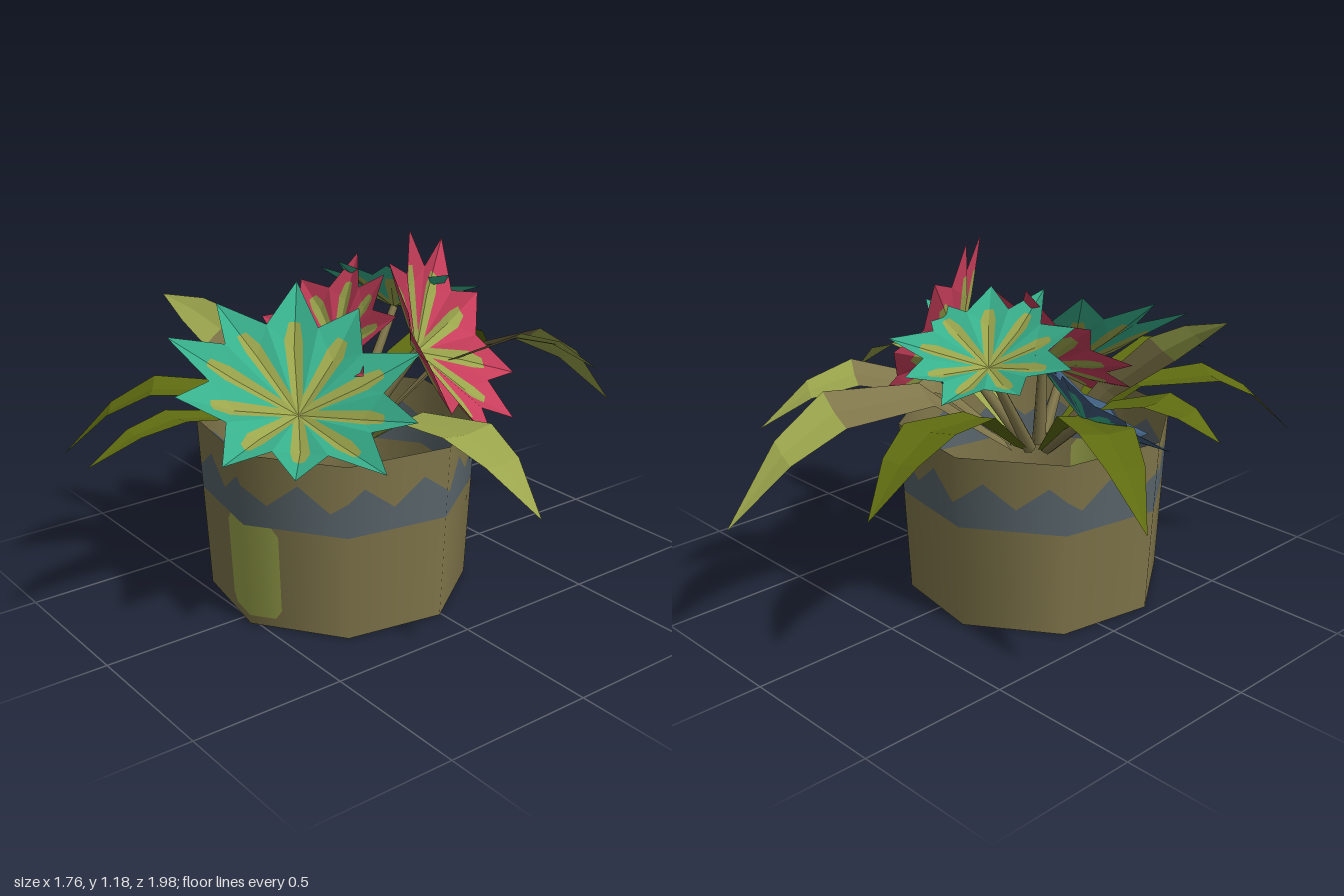
import * as THREE from 'three';

const colours = {
  clay: 0x7f754a, slate: 0x58646a, lightGreen: 0x9ba54c, olive: 0x5f6c10,
  teal: 0x38b08c, crimson: 0xc63d5a, blue: 0x3f5c7e,
};
const M = {};
for (const [name, hex] of Object.entries(colours)) {
  M[name] = new THREE.MeshStandardMaterial({ color: hex, side: THREE.DoubleSide });
  M[name].name = name;
}

// Mesh from a list of triangle corners; faceted unless normals are given
function facets(name, points, material, normals) {
  const g = new THREE.BufferGeometry().setFromPoints(points);
  if (normals) g.setAttribute('normal', new THREE.Float32BufferAttribute(normals.flatMap((n) => n.toArray()), 3));
  else g.computeVertexNormals();
  const mesh = new THREE.Mesh(g, material);
  mesh.name = name;
  return mesh;
}

// ---- Pot: open octagonal tube cut into coloured bands ----
const POT = { x: -0.045, z: 0.1, top: 0.457, bottom: 0.428, h: 0.588, corner: 12.5 };
const rad = THREE.MathUtils.degToRad;

function potPoint(az, y) {
  const fromMid = THREE.MathUtils.euclideanModulo(az - POT.corner, 45) - 22.5;
  const r = THREE.MathUtils.lerp(POT.bottom, POT.top, y / POT.h) * Math.cos(rad(22.5)) / Math.cos(rad(fromMid));
  return new THREE.Vector3(POT.x + r * Math.sin(rad(az)), y, POT.z + r * Math.cos(rad(az)));
}

function band(name, material, angles, low, high) {
  const p = [], n = [];
  for (let i = 0; i + 1 < angles.length; i++) {
    const [a, b] = [angles[i], angles[i + 1]];
    for (const [az, f] of [[a, low], [b, low], [b, high], [a, low], [b, high], [a, high]]) {
      p.push(potPoint(az, f(az)));
      n.push(new THREE.Vector3(Math.sin(rad(az)), -0.05, Math.cos(rad(az))).normalize());
    }
  }
  return facets(name, p, material, n);
}

function makePot() {
  const pot = new THREE.Group();
  pot.name = 'pot';
  const zigStart = -5, period = 360 / 13;
  const corners = Array.from({ length: 8 }, (_, i) => POT.corner + 45 * i);
  const teeth = Array.from({ length: 27 }, (_, i) => zigStart + (i * period) / 2);
  const ring = [...corners, ...teeth].sort((a, b) => a - b);
  const zig = (az) => {
    const t = THREE.MathUtils.euclideanModulo(az - zigStart, period) / period;
    return 0.425 + 0.08 * (1 - Math.abs(2 * t - 1));
  };
  const flat = (y) => () => y;
  // label with clipped corners
  const label = [-4, -1, POT.corner, 24, 27];
  const edge = (az) => (az <= -4 || az >= 27 ? 0.03 : 0);
  const labelLow = (az) => 0.03 + edge(az), labelHigh = (az) => 0.35 - edge(az);
  const rest = [27, ...corners.slice(1), 356];
  pot.add(
    band('potRim', M.clay, ring, zig, flat(POT.h)),
    band('zigzagBand', M.slate, ring, flat(0.35), zig),
    band('potWall', M.clay, rest, flat(0), flat(0.35)),
    band('wallBelowLabel', M.clay, label, flat(0), labelLow),
    band('label', M.lightGreen, label, labelLow, labelHigh),
    band('wallAboveLabel', M.clay, label, labelHigh, flat(0.35)),
  );
  return pot;
}

// ---- Flower: cupped ring of creased petals with a stripe cut into each ----
function makeFlower({ name, at, normal, r, n, petal, stripe, spin, cup, squash = 1 }) {
  const petals = [], stripes = [];
  const polar = (a, d, y) => new THREE.Vector3(d * r * Math.cos(a), y * r, d * r * Math.sin(a) * squash);
  const O = new THREE.Vector3();
  const step = (Math.PI * 2) / n;
  for (let i = 0; i < n; i++) {
    const a = spin + i * step;
    const mid = polar(a, 0.5, cup * 0.45);
    const tip = polar(a + 0.06 * Math.sin(i * 2.3), i % 2 ? 0.93 : 1.02, cup);
    const end = mid.clone().lerp(tip, 0.4);
    for (const side of [-1, 1]) {
      const wing = polar(a + (side * step) / 2, 0.65, cup * 0.78);
      const cut = mid.clone().lerp(wing, 0.36);
      const root = wing.clone().multiplyScalar(0.22);
      const shoulder = end.clone().lerp(wing, 0.22);
      const add = (list, p, q, s) => list.push(...(side < 0 ? [p, q, s] : [p, s, q]));
      add(stripes, O, mid, root);
      add(stripes, root, mid, cut);
      add(stripes, mid, end, shoulder);
      add(stripes, mid, shoulder, cut);
      add(petals, root, cut, wing);
      add(petals, cut, shoulder, wing);
      add(petals, shoulder, tip, wing);
      add(petals, shoulder, end, tip);
    }
  }
  const flower = new THREE.Group();
  flower.name = name;
  flower.add(facets('petals', petals, petal), facets('petalStripes', stripes, stripe));
  flower.position.set(...at);
  flower.quaternion.setFromUnitVectors(new THREE.Vector3(0, 1, 0), new THREE.Vector3(...normal).normalize());
  return flower;
}

// ---- Stem: thin tapered tube from inside the pot to the flower ----
function makeStem(at) {
  const start = new THREE.Vector3(POT.x + at[0] * 0.2, 0.5, POT.z + (at[2] - POT.z) * 0.2);
  const end = new THREE.Vector3(...at);
  const stem = new THREE.Mesh(new THREE.CylinderGeometry(0.014, 0.024, start.distanceTo(end), 6), M.clay);
  stem.name = 'stem';
  stem.position.copy(start).lerp(end, 0.5);
  stem.quaternion.setFromUnitVectors(new THREE.Vector3(0, 1, 0), end.clone().sub(start).normalize());
  return stem;
}

// ---- Leaf: arched, slightly folded blade; the first rows may be a clay-coloured base ----
function makeLeaf([x, y, z, archY, width, material, clayRows = 0, roll = 0]) {
  const base = new THREE.Vector3(POT.x + (x - POT.x) * 0.1, 0.5, POT.z + (z - POT.z) * 0.1);
  const tip = new THREE.Vector3(x, y, z);
  const control = base.clone().lerp(tip, 0.52).setY(archY);
  const curve = new THREE.QuadraticBezierCurve3(base, control, tip);
  const along = tip.clone().sub(base).normalize();
  const across = new THREE.Vector3(z - base.z, 0, base.x - x).normalize().applyAxisAngle(along, roll);
  const fold = along.clone().cross(across).normalize();
  if (fold.y > 0) fold.negate();
  const spans = [[0, 0.3], [0.3, 0.65], [0.62, 1], [0.8, 0.68], [1, 0]];
  const rows = spans.map(([t, w]) => {
    const c = curve.getPoint(t), half = (w * width) / 2;
    return [
      c.clone().addScaledVector(across, half),
      c.clone().addScaledVector(fold, half * 0.12),
      c.clone().addScaledVector(across, -half),
    ];
  });
  const blade = (name, from, to, mat) => {
    const p = [];
    for (let i = from; i < to; i++) {
      for (const k of [0, 1]) {
        const [a, b, c, d] = [rows[i][k], rows[i][k + 1], rows[i + 1][k + 1], rows[i + 1][k]];
        p.push(a, c, b);
        p.push(a, d, c);
      }
    }
    return facets(name, p, mat);
  };
  const leaf = new THREE.Group();
  leaf.name = 'leaf';
  leaf.add(blade('leafBlade', clayRows, 4, material));
  if (clayRows) leaf.add(blade('leafBase', 0, clayRows, M.clay));
  return leaf;
}

export function createModel() {
  const model = new THREE.Group();
  model.name = 'pottedFlowers';
  model.add(makePot());

  const flowers = [
    { name: 'frontTealFlower', at: [0.05, 0.66, 0.32], normal: [0.4, 1, 0.34], r: 0.46, n: 10, petal: M.teal, stripe: M.lightGreen, spin: 0.05, cup: 0.36, squash: 0.82 },
    { name: 'rightRedFlower', at: [0.11, 0.8, -0.1], normal: [0.7, 0.48, -0.48], r: 0.385, n: 9, petal: M.crimson, stripe: M.lightGreen, spin: 0.55, cup: 0.4 },
    { name: 'backTealFlower', at: [-0.18, 0.86, -0.24], normal: [-0.2, 0.9, -0.32], r: 0.29, n: 9, petal: M.teal, stripe: M.lightGreen, spin: 0.1, cup: 0.35 },
    { name: 'blueFlower', at: [-0.39, 0.69, -0.04], normal: [-0.25, 0.78, 0.57], r: 0.29, n: 9, petal: M.blue, stripe: M.teal, spin: 0.3, cup: 0.28 },
    { name: 'middleRedFlower', at: [-0.12, 0.79, 0.05], normal: [0.02, 0.68, 0.73], r: 0.3, n: 9, petal: M.crimson, stripe: M.lightGreen, spin: 0.25, cup: 0.3 },
  ];
  for (const f of flowers) model.add(makeFlower(f), makeStem(f.at));

  // leaf tips: x, y, z, arch height, width, colour, clay rows, roll
  const leaves = [
    [-0.54, 0.47, 0.84, 0.95, 0.2, M.olive],
    [-0.05, 0.62, 0.99, 0.86, 0.13, M.olive],
    [-0.71, 0.64, 0.22, 0.88, 0.17, M.olive],
    [-0.88, 0.565, -0.31, 0.99, 0.17, M.olive],
    [-0.3, 0.57, -0.81, 0.96, 0.18, M.olive],
    [0.14, 0.45, -0.99, 1.08, 0.16, M.lightGreen, 2, -0.5],
    [0.31, 0.66, -0.74, 1.02, 0.13, M.lightGreen, 2, -0.4],
    [0.88, 0.54, 0.08, 0.92, 0.19, M.lightGreen],
    [-0.55, 0.94, 0.44, 0.86, 0.15, M.lightGreen, 2, -1.0],
  ];
  for (const l of leaves) model.add(makeLeaf(l));
  return model;
}
